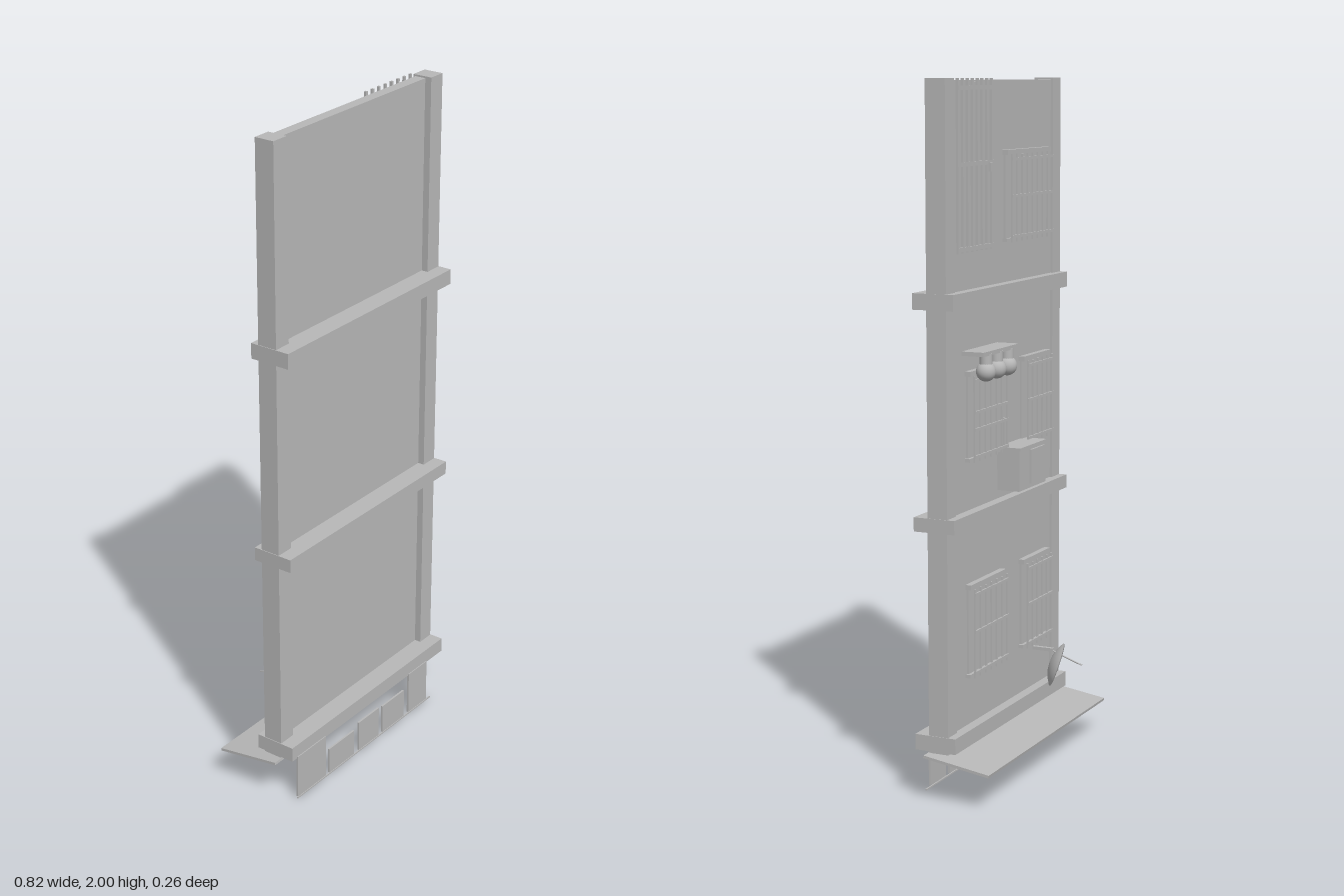
import * as THREE from 'three';

export function createModel() {
  const model = new THREE.Group();
  model.name = 'buildingFacade';
  const grey = new THREE.MeshStandardMaterial({ color: 0xb8b8b8 });
  grey.name = 'plain grey';
  const greySheet = new THREE.MeshStandardMaterial({ color: 0xb8b8b8, side: THREE.DoubleSide });
  greySheet.name = 'plain grey sheet';

  const add = (name, geo, parent = model, mat = grey) => {
    const mesh = new THREE.Mesh(geo, mat);
    mesh.name = name;
    parent.add(mesh);
    return mesh;
  };
  // box given by its limits on each axis
  const box = (name, x0, x1, y0, y1, z0, z1, parent = model) => {
    const mesh = add(name, new THREE.BoxGeometry(x1 - x0, y1 - y0, z1 - z0), parent);
    mesh.position.set((x0 + x1) / 2, (y0 + y1) / 2, (z0 + z1) / 2);
    return mesh;
  };
  const group = (name) => {
    const g = new THREE.Group();
    g.name = name;
    model.add(g);
    return g;
  };

  // wall, corner pilasters and floor ledges
  box('wall', -0.33, 0.33, 0.14, 1.995, 0.03, 0.063);
  for (const side of [-1, 1]) {
    const a = side * 0.325, b = side * 0.38;
    box('pilaster', Math.min(a, b), Math.max(a, b), 0.135, 2, 0.023, 0.083);
  }
  for (const [y0, y1] of [[0.14, 0.185], [0.765, 0.805], [1.38, 1.425]]) {
    box('ledge', -0.382, 0.382, y0, y1, 0, 0.125);
  }

  // barred windows: lintel, sill and a grille in front of the wall
  const barredWindow = (x0, x1, y0, y1, bars, rails) => {
    const g = group('window');
    box('lintel', x0 - 0.004, x1 + 0.004, y1 - 0.014, y1, 0.012, 0.032, g);
    box('sill', x0 - 0.004, x1 + 0.004, y0, y0 + 0.01, 0.015, 0.032, g);
    box('pane', x0 + 0.004, x1 - 0.004, y0, y1, 0.024, 0.032, g);
    for (let i = 0; i < bars; i++) {
      const x = x0 + 0.004 + (x1 - x0 - 0.008) * i / (bars - 1);
      box('bar', x - 0.003, x + 0.003, y0, y1 - 0.012, 0.001, 0.006, g);
    }
    for (const t of rails) {
      const y = y0 + (y1 - y0) * t;
      box('rail', x0, x1, y - 0.004, y + 0.004, -0.001, 0.004, g);
    }
  };
  barredWindow(-0.283, 0.005, 1.54, 1.8, 9, [0.06, 0.5, 0.9]);
  barredWindow(0.03, 0.25, 0.945, 1.2, 7, [0.06, 0.36, 0.55, 0.9]);
  barredWindow(-0.283, -0.105, 0.945, 1.2, 6, [0.06, 0.5, 0.9]);
  barredWindow(0.03, 0.25, 0.325, 0.595, 7, [0.06, 0.5, 0.9]);
  barredWindow(-0.283, -0.105, 0.325, 0.595, 6, [0.06, 0.5, 0.9]);

  // tall barred door on the top floor
  const door = group('barredDoor');
  for (let i = 0; i < 8; i++) {
    const x = 0.112 + i * 0.03;
    box('doorBar', x - 0.004, x + 0.004, 1.53, 2, 0.011, 0.018, door);
  }
  for (const y of [1.54, 1.77, 1.975]) {
    box('doorRail', 0.108, 0.325, y - 0.006, y + 0.006, 0.01, 0.016, door);
  }
  box('doorBacking', 0.11, 0.323, 1.53, 1.99, 0.024, 0.032, door);
  box('doorHandle', 0.122, 0.14, 1.745, 1.77, 0.003, 0.011, door);

  // lamp shelf with three round hanging lamps
  const lamps = group('lamps');
  box('lampShelf', 0.045, 0.273, 1.246, 1.258, -0.038, 0.032, lamps);
  for (const x of [0.09, 0.16, 0.228]) {
    add('lampNeck', new THREE.CylinderGeometry(0.018, 0.018, 0.04, 20), lamps).position.set(x, 1.23, -0.023);
    add('lampGlobe', new THREE.SphereGeometry(0.028, 24, 16), lamps).position.set(x, 1.2, -0.023);
  }

  // air conditioner with grille panel and pipe
  const cooler = group('airConditioner');
  box('coolerBody', -0.137, 0.045, 0.83, 0.948, -0.04, 0.032, cooler);
  box('coolerLid', -0.137, 0.045, 0.948, 0.956, -0.043, 0.032, cooler);
  box('coolerGrille', -0.122, -0.026, 0.842, 0.942, -0.046, -0.04, cooler);
  box('coolerPipe', 0.03, 0.038, 0.95, 1.04, 0.01, 0.02, cooler);

  // satellite dish: a shallow bowl with its mount and feed
  const dish = group('satelliteDish');
  const profile = [[0, -0.018], [0.025, -0.015], [0.048, -0.007], [0.067, 0.004], [0.066, 0.007],
    [0.046, -0.003], [0.024, -0.01], [0, -0.013]].map(([r, y]) => new THREE.Vector2(r, y));
  const bowl = add('dishBowl', new THREE.LatheGeometry(profile, 36), dish, greySheet);
  bowl.quaternion.setFromUnitVectors(new THREE.Vector3(0, 1, 0), new THREE.Vector3(-0.38, -0.33, -0.86).normalize());
  bowl.position.set(-0.207, 0.257, -0.042);
  box('dishMount', -0.213, -0.201, 0.296, 0.306, -0.036, 0.032, dish);
  const feed = new THREE.LineCurve3(new THREE.Vector3(-0.207, 0.299, -0.03), new THREE.Vector3(-0.207, 0.264, -0.13));
  add('dishFeed', new THREE.TubeGeometry(feed, 1, 0.0025, 8), dish, greySheet);

  // sloping awning
  const awning = box('awning', -0.412, 0.412, 0.113, 0.121, -0.118, 0.086);
  awning.rotation.x = -0.15;

  // hanging panels under the front edge
  const panels = group('hangingPanels');
  for (const [x0, x1, y1] of [[-0.36, -0.225, 0.145], [-0.208, -0.084, 0.09], [-0.06, 0.042, 0.105],
    [0.062, 0.175, 0.1], [0.2, 0.296, 0.145]]) {
    box('panel', x0, x1, 0.008, y1, 0.122, 0.128, panels);
  }
  box('panelCord', -0.36, 0.32, 0, 0.004, 0.123, 0.127, panels);

  return model;
}
